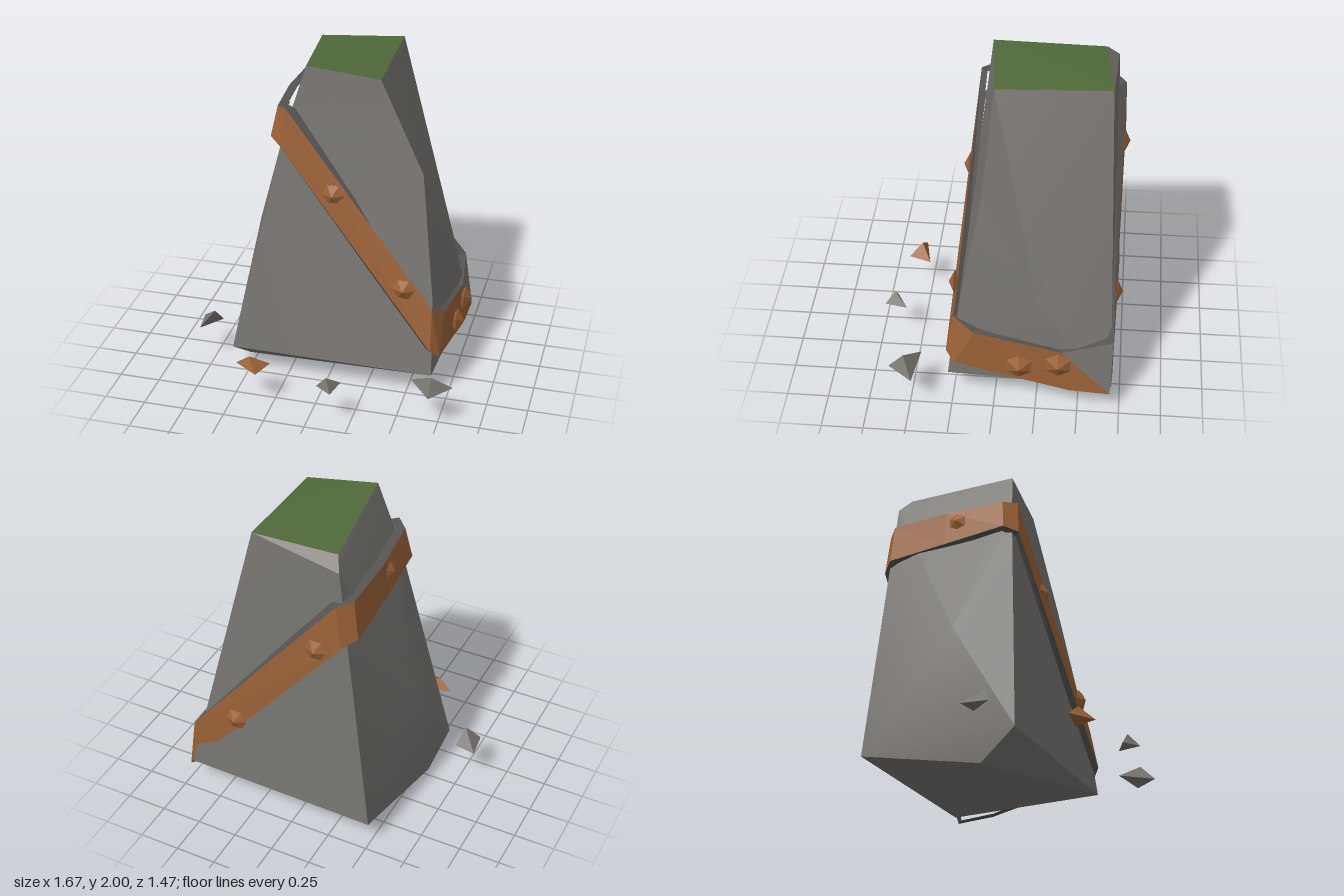
import * as THREE from 'three';
import { toCreasedNormals } from 'three/addons/utils/BufferGeometryUtils.js';

const material = (name, color, side = THREE.FrontSide) => {
  const m = new THREE.MeshStandardMaterial({ color, side });
  m.name = name;
  return m;
};

// Fans each polygon into triangles that all face away from the given centre
function faceted(name, polygons, centre, mat, crease = 0.02) {
  const out = [];
  const c = new THREE.Vector3(...centre);
  for (const poly of polygons) {
    const p = poly.map(a => new THREE.Vector3(...a));
    for (let i = 1; i < p.length - 1; i++) {
      const t = [p[0], p[i], p[i + 1]];
      const n = t[1].clone().sub(t[0]).cross(t[2].clone().sub(t[0]));
      const mid = t[0].clone().add(t[1]).add(t[2]).divideScalar(3).sub(c);
      if (n.dot(mid) < 0) t.reverse();
      t.forEach(v => out.push(v.x, v.y, v.z));
    }
  }
  const geo = new THREE.BufferGeometry();
  geo.setAttribute('position', new THREE.Float32BufferAttribute(out, 3));
  const mesh = new THREE.Mesh(toCreasedNormals(geo, crease), mat);
  mesh.name = name;
  return mesh;
}

export function createModel() {
  const group = new THREE.Group();
  group.name = 'bandedRock';
  const stone = material('stone grey', 0x787571);
  const rimMat = material('dark grey', 0x575553, THREE.DoubleSide);
  const rust = material('rust brown', 0x9c6238);
  const moss = material('moss green', 0x50693a);

  // Rock corners: F/B front or back, L/R low or high x
  const FL = [-0.59, 0.17, 0.27], FR = [0.66, 0.17, 0.28];
  const BR = [0.71, 0.17, -0.7], BL = [-0.5, 0.17, -0.72];
  const keel = [-0.55, 0, 0.05];
  const FL1 = [-0.28, 1.6, 0.12], FR1 = [0.54, 1.4, 0.08], FR2 = [0.64, 0.66, 0.21];
  const leftMid = [-0.52, 0.87, -0.15], rightMid = [0.68, 0.77, -0.25];
  const BL1 = [-0.28, 1.87, -0.65];
  const FLt = [-0.16, 2, 0.07], FRt = [0.27, 1.94, 0.03];
  const BRt = [0.26, 1.96, -0.63], BLt = [-0.24, 1.94, -0.58];
  const centre = [0, 0.9, -0.2];

  // Fan of triangles from one point around a closed ring
  const fan = (apex, ring) => ring.map((p, i) => [apex, p, ring[(i + 1) % ring.length]]);

  group.add(faceted('rock', [
    [FL1, FL, FR, FR2, FR1, FRt, FLt],
    [BR, BL, BL1, BRt],
    [BRt, BL1, BLt], [BL1, FLt, BLt],
    ...fan(leftMid, [FL, FL1, FLt, BL1, BL]),
    ...fan(rightMid, [FR, FR2, FR1, FRt, BRt, BR]),
    ...fan(keel, [FL, FR, BR, BL]),
  ], centre, stone, 0.35));
  group.add(faceted('mossTop', [[FLt, FRt, BRt, BLt]], centre, moss, 0.35));

  // Slanted belt: matching top and bottom corners around the rock
  const top = [
    [-0.26, 1.75, 0.15], [0.645, 0.6, 0.24], [0.7, 0.53, 0.12], [0.72, 0.43, -0.4],
    [0.68, 0.49, -0.7], [-0.28, 1.68, -0.7], [-0.36, 1.7, -0.63], [-0.365, 1.72, -0.28], [-0.33, 1.74, 0.08],
  ];
  const bottom = [
    [-0.3, 1.53, 0.17], [0.65, 0.34, 0.29], [0.7, 0.29, 0.24], [0.735, 0.15, -0.45],
    [0.735, 0.135, -0.69], [-0.32, 1.42, -0.71], [-0.39, 1.46, -0.64], [-0.385, 1.5, -0.28], [-0.37, 1.55, 0.1],
  ];
  const inset = ([x, y, z]) => [0.17 + (x - 0.17) * 0.9, y, -0.22 + (z + 0.22) * 0.9];
  const beltFaces = [], upperRim = [], lowerRim = [];
  top.forEach((t, i) => {
    const j = (i + 1) % top.length;
    beltFaces.push(i === 3 ? [t, bottom[i], bottom[j]] : [t, bottom[i], bottom[j], top[j]]);
    upperRim.push([t, top[j], inset(top[j]), inset(t)]);
    lowerRim.push([bottom[i], bottom[j], inset(bottom[j]), inset(bottom[i])]);
  });
  group.add(faceted('belt', beltFaces, centre, rust));
  group.add(faceted('beltCornerGap', [[top[3], top[4], bottom[4]]], centre, stone));
  group.add(faceted('beltUpperRim', upperRim, [0, -50, 0], rimMat));
  group.add(faceted('beltLowerRim', lowerRim, [0, 50, 0], rimMat));

  // Faceted studs, flattened along the outward direction
  const studGeo = toCreasedNormals(new THREE.SphereGeometry(0.07, 6, 2).scale(1, 0.5, 1), 0.02);
  const studs = [
    [0.03, 1.26, 0.195, 0, 1], [0.47, 0.72, 0.25, 0, 1],
    [0.735, 0.32, -0.15, 1, 0, 1.2], [0.74, 0.35, -0.38, 1, 0, 1.2],
    [-0.16, 1.35, -0.705, 0, -1], [0.38, 0.64, -0.705, 0, -1],
    [-0.37, 1.64, -0.2, -1, 0, 0.85],
  ];
  for (const [x, y, z, nx, nz, s = 1] of studs) {
    const stud = new THREE.Mesh(studGeo, rust);
    stud.name = 'stud';
    stud.position.set(x, y, z);
    stud.quaternion.setFromUnitVectors(new THREE.Vector3(0, 1, 0), new THREE.Vector3(nx, 0, nz));
    stud.scale.setScalar(s);
    group.add(stud);
  }

  // Loose four-sided chips around the rock: base corners (x, z), then apex (x, y, z)
  const chips = [
    [stone, [-0.84, 0.06], [-0.71, 0.08], [-0.82, 0.22], [-0.74, 0.34, 0.16]],
    [rust, [-0.48, 0.54], [-0.28, 0.5], [-0.33, 0.64], [-0.39, 0.31, 0.56]],
    [stone, [0.18, 0.59], [0.05, 0.66], [0.15, 0.73], [0.11, 0.31, 0.67]],
    [stone, [0.57, 0.45], [0.83, 0.48], [0.71, 0.63], [0.71, 0.33, 0.54]],
  ];
  for (const [mat, a, b, c, apex] of chips) {
    const base = [a, b, c].map(([x, z]) => [x, 0.24, z]);
    const mid = [0, 1, 2].map(k => (base[0][k] + base[1][k] + base[2][k] + apex[k]) / 4);
    group.add(faceted('chip', [base, ...fan(apex, base)], mid, mat));
  }
  return group;
}
